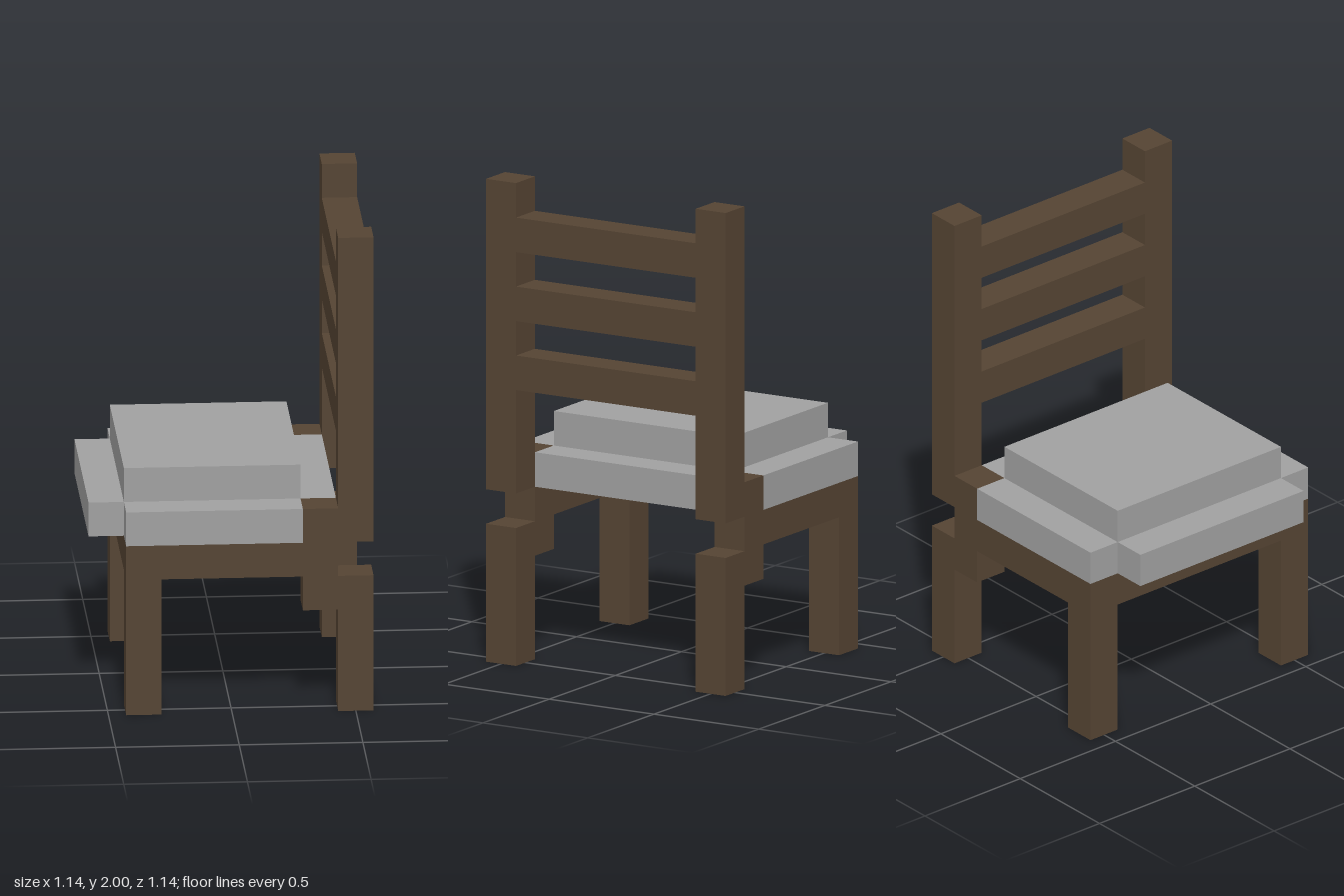
import * as THREE from 'three';

// One block of the model's grid: 14 blocks tall = 2 units
const U = 1 / 7;

const wood = new THREE.MeshStandardMaterial({ name: 'dark wood', color: 0x554433 });
const fabric = new THREE.MeshStandardMaterial({ name: 'grey cushion', color: 0xa0a0a0 });

// Box spanning grid coordinates [x, y, z] from min to max
function block(name, material, min, max) {
  const [sx, sy, sz] = max.map((v, i) => (v - min[i]) * U);
  const mesh = new THREE.Mesh(new THREE.BoxGeometry(sx, sy, sz), material);
  mesh.position.set(...max.map((v, i) => ((v + min[i]) / 2) * U));
  mesh.name = name;
  return mesh;
}

// Flat outline in grid coordinates, extruded by a depth in blocks
function slab(points, depth) {
  const shape = new THREE.Shape(points.map(([x, y]) => new THREE.Vector2(x * U, y * U)));
  return new THREE.ExtrudeGeometry(shape, { depth: depth * U, bevelEnabled: false });
}

export function createModel() {
  const chair = new THREE.Group();
  chair.name = 'chair';

  // Side frames: front leg, seat rail, stepped joint, back leg and back post
  const sideGeometry = slab([
    [-3, 0], [-2, 0], [-2, 4], [2, 4], [2, 3], [3, 3], [3, 0], [4, 0], [4, 4],
    [3, 4], [3, 5], [4, 5], [4, 14], [3, 14], [3, 6], [2, 6], [2, 5], [-3, 5],
  ], 1);
  for (const [name, z] of [['sideFrameNear', 3], ['sideFrameFar', -4]]) {
    const frame = new THREE.Mesh(sideGeometry, wood);
    frame.name = name;
    frame.position.z = z * U;
    chair.add(frame);
  }

  // Rail joining the front legs
  chair.add(block('frontRail', wood, [-3, 4, -3], [-2, 5, 3]));

  // Backrest slats
  [8, 10, 12].forEach((y, i) => {
    chair.add(block(`backSlat${i + 1}`, wood, [3, y, -3], [4, y + 1, 3]));
  });

  // Cushion: cross-shaped lower layer with a raised pad
  const cushionBase = new THREE.Mesh(slab([
    [-4, -3], [-3, -3], [-3, -4], [2, -4], [2, -3], [3, -3],
    [3, 3], [2, 3], [2, 4], [-3, 4], [-3, 3], [-4, 3],
  ], 1), fabric);
  cushionBase.name = 'cushionBase';
  cushionBase.rotation.x = -Math.PI / 2;
  cushionBase.position.y = 5 * U;
  chair.add(cushionBase);
  chair.add(block('cushionTop', fabric, [-3, 6, -3], [2, 7, 3]));

  return chair;
}
